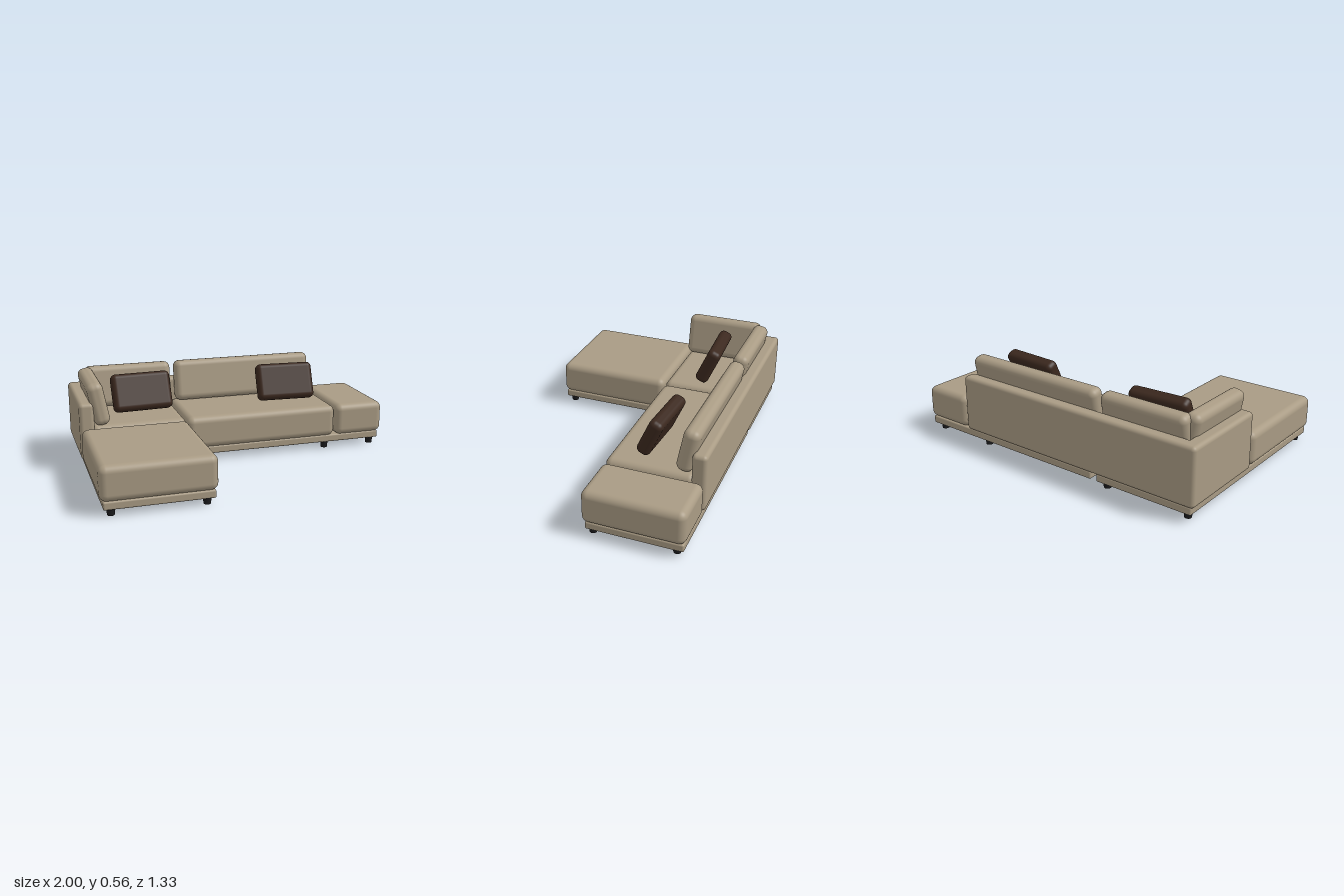
import * as THREE from 'three';
import { RoundedBoxGeometry } from 'three/addons/geometries/RoundedBoxGeometry.js';

const fabric = new THREE.MeshStandardMaterial({ color: 0xa99b84 });
fabric.name = 'beige upholstery';
const brown = new THREE.MeshStandardMaterial({ color: 0x3b281e });
brown.name = 'dark brown fabric';
const black = new THREE.MeshStandardMaterial({ color: 0x1b1b1d });
black.name = 'black legs';

export function createModel() {
  const model = new THREE.Group();
  model.name = 'cornerSofa';

  // Rounded block given by its extents on each axis
  function block(name, [x0, x1], [y0, y1], [z0, z1], radius) {
    const geo = new RoundedBoxGeometry(x1 - x0, y1 - y0, z1 - z0, 5, radius);
    const mesh = new THREE.Mesh(geo, fabric);
    mesh.name = name;
    mesh.position.set((x0 + x1) / 2, (y0 + y1) / 2, (z0 + z1) / 2);
    model.add(mesh);
    return mesh;
  }

  // Cushion given by size, centre and rotation
  function cushion(name, size, centre, rotation, radius, material) {
    const mesh = new THREE.Mesh(new RoundedBoxGeometry(...size, 6, radius), material);
    mesh.name = name;
    mesh.position.set(...centre);
    mesh.rotation.set(...rotation, 'YXZ');
    model.add(mesh);
    return mesh;
  }

  // Plinths
  block('chaiseBase', [-0.98, -0.355], [0.04, 0.088], [-0.655, 0.65], 0.01);
  block('sofaBase', [-0.315, 0.98], [0.04, 0.088], [-0.655, -0.09], 0.01);

  // Seat cushions
  const seatY = [0.085, 0.29];
  block('chaiseSeat', [-0.998, -0.34], seatY, [-0.06, 0.663], 0.042);
  block('cornerSeat', [-0.93, -0.34], seatY, [-0.6, -0.07], 0.042);
  block('mainSeat', [-0.333, 0.66], seatY, [-0.6, -0.07], 0.042);
  block('sideSeat', [0.67, 0.998], seatY, [-0.665, -0.07], 0.042);

  // Back and arm panels
  block('backPanel', [-1, 0.66], [0.085, 0.435], [-0.667, -0.58], 0.024);
  block('armPanel', [-1, -0.91], [0.085, 0.435], [-0.667, -0.07], 0.024);

  // Leaning back and arm cushions
  const lean = 0.19;
  cushion('cornerBackCushion', [0.56, 0.266, 0.098], [-0.62, 0.422, -0.545], [-lean, 0, 0], 0.04, fabric);
  cushion('mainBackCushion', [0.945, 0.266, 0.098], [0.163, 0.422, -0.545], [-lean, 0, 0], 0.04, fabric);
  cushion('armCushion', [0.098, 0.266, 0.49], [-0.88, 0.422, -0.311], [0, 0, lean], 0.04, fabric);

  // Scatter pillows
  const pillow = [0.38, 0.24, 0.085];
  cushion('rightPillow', pillow, [-0.573, 0.42, -0.33], [-0.42, 0.06, 0], 0.032, brown);
  cushion('leftPillow', pillow, [0.388, 0.42, -0.312], [-0.42, -0.06, 0], 0.032, brown);

  // Tapered feet
  const legGeo = new THREE.CylinderGeometry(0.025, 0.021, 0.045, 20);
  const feet = [
    [-0.935, 0.61], [-0.4, 0.61], [-0.935, -0.605], [-0.4, -0.605],
    [-0.28, -0.12], [0, -0.385], [0.53, -0.605], [0.605, -0.12],
    [0.932, -0.605], [0.932, -0.12],
  ];
  for (const [x, z] of feet) {
    const leg = new THREE.Mesh(legGeo, black);
    leg.name = 'leg';
    leg.position.set(x, 0.0225, z);
    model.add(leg);
  }
  return model;
}
